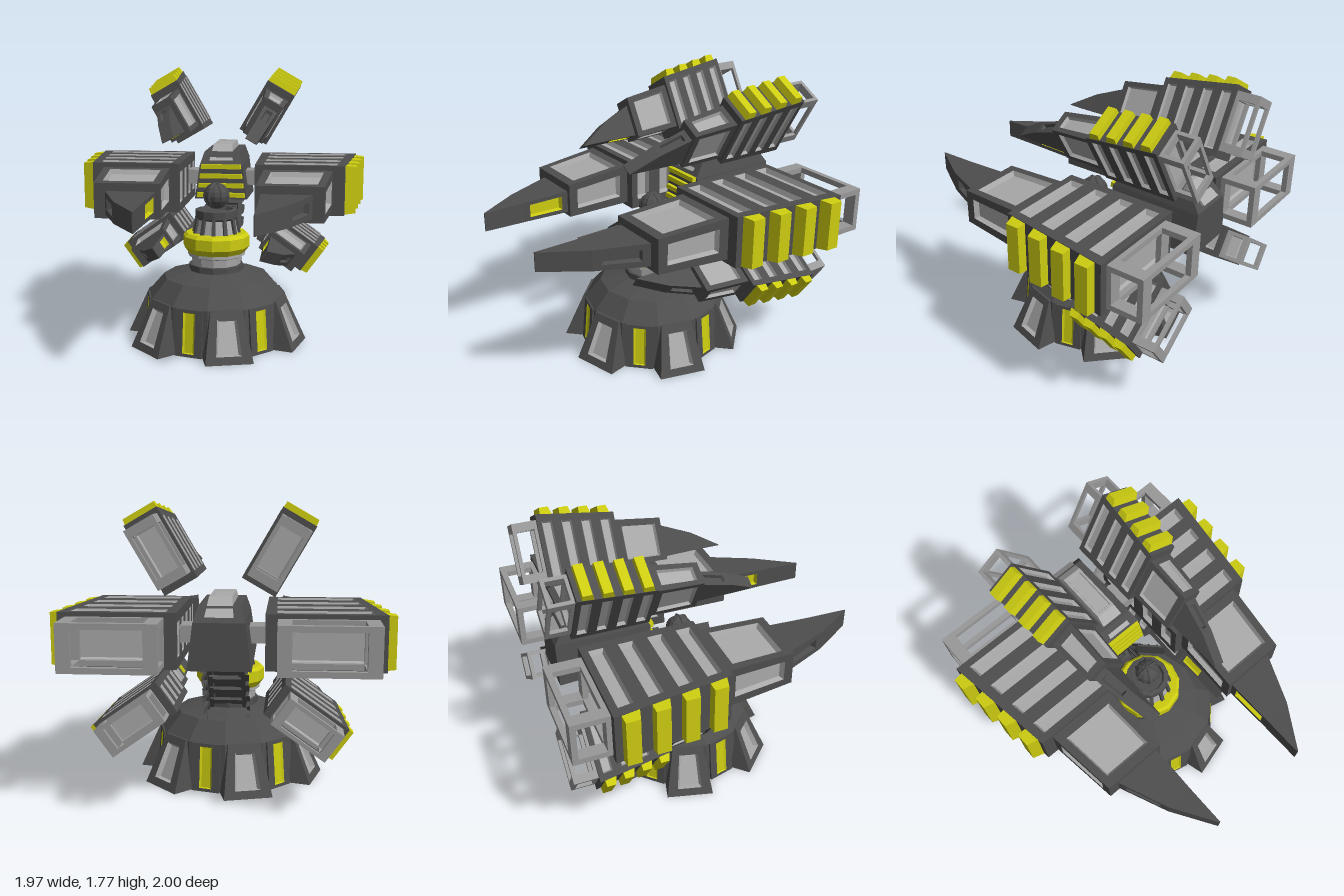
import * as THREE from 'three';

const V = (x, y, z) => new THREE.Vector3(x, y, z);
const mats = {};
for (const [k, color] of Object.entries({ dark: 0x4e4e4e, light: 0xaaaaaa, frame: 0x999999, yellow: 0xcccc11 }))
  mats[k] = new THREE.MeshStandardMaterial({ color, flatShading: true });

// Collects quads by colour, then bakes them into meshes
class Part {
  constructor() { this.bins = {}; }
  quad(col, a, b, c, d) {
    const bin = this.bins[col] ??= [];
    for (const p of [a, b, c, a, c, d]) bin.push(p.x, p.y, p.z);
  }
  // Face split into n cells along a->b, each with a sunken panel
  inset(col, [a, b, c, d], { n = 1, mu = 0.04, mv = 0.05, depth = 0.025, color = 'light' }) {
    const at = (u, v) => a.clone().lerp(b, u).lerp(d.clone().lerp(c, u), v);
    const lenU = at(0, 0.5).distanceTo(at(1, 0.5)), lenV = at(0.5, 0).distanceTo(at(0.5, 1));
    const normal = b.clone().sub(a).cross(d.clone().sub(a)).normalize().multiplyScalar(-depth);
    const ring = (u0, u1, m) => {
      const s = m * mu / lenU, t = m * mv / lenV;
      return [at(u0 + s, t), at(u1 - s, t), at(u1 - s, 1 - t), at(u0 + s, 1 - t)];
    };
    for (let i = 0; i < n; i++) {
      const u0 = i / n, u1 = (i + 1) / n;
      const outer = ring(u0, u1, 0), inner = ring(u0, u1, 1);
      const floor = ring(u0, u1, 1.25).map(p => p.add(normal));
      for (let k = 0; k < 4; k++) {
        const j = (k + 1) % 4;
        this.quad(col, outer[k], outer[j], inner[j], inner[k]);
        this.quad(color, inner[k], inner[j], floor[j], floor[k]);
      }
      this.quad(color, ...floor);
    }
  }
  // Six-sided block between a front and a rear quad; any side may carry panels
  block(col, F, R, panels = {}) {
    const sides = {
      front: [F[0], F[1], F[2], F[3]], back: [R[1], R[0], R[3], R[2]],
      right: [F[1], R[1], R[2], F[2]], left: [R[0], F[0], F[3], R[3]],
      top: [F[2], R[2], R[3], F[3]], bottom: [R[1], F[1], F[0], R[0]],
    };
    for (const [k, f] of Object.entries(sides))
      panels[k] ? this.inset(col, f, panels[k]) : this.quad(col, ...f);
  }
  box(col, x0, x1, y0, y1, z0, z1) { this.block(col, rect(x0, x1, y0, y1, z1), rect(x0, x1, y0, y1, z0)); }
  build(name, matrix = new THREE.Matrix4()) {
    const group = new THREE.Group();
    group.name = name;
    const flip = matrix.determinant() < 0;
    for (const [col, pos] of Object.entries(this.bins)) {
      const p = pos.slice();
      if (flip) for (let i = 0; i < p.length; i += 9)
        for (let k = 0; k < 3; k++) [p[i + 3 + k], p[i + 6 + k]] = [p[i + 6 + k], p[i + 3 + k]];
      const geo = new THREE.BufferGeometry();
      geo.setAttribute('position', new THREE.Float32BufferAttribute(p, 3));
      geo.applyMatrix4(matrix);
      geo.computeVertexNormals();
      const mesh = new THREE.Mesh(geo, mats[col]);
      mesh.name = name + '_' + col;
      group.add(mesh);
    }
    return group;
  }
}

const rect = (x0, x1, y0, y1, z) => [V(x0, y0, z), V(x1, y0, z), V(x1, y1, z), V(x0, y1, z)];
// Symmetric trapezoid, with its own z for bottom and top edges
const trap = (w0, w1, y0, y1, z0, z1 = z0) => [V(-w0, y0, z0), V(w0, y0, z0), V(w1, y1, z1), V(-w1, y1, z1)];

// One weapon pod, pointing +z, inner side towards x = 0
function makePod() {
  const p = new Part();
  // ribbed rear housing
  const groove = { n: 4, mu: 0.045, mv: 0.06, depth: 0.03 };
  p.block('dark', rect(0.25, 0.83, -0.165, 0.16, -0.04), rect(0.25, 0.93, -0.165, 0.16, -0.77),
    { top: groove, bottom: groove, left: groove, back: { mu: 0.09, mv: 0.05 } });
  // panelled middle section
  const panel = { mu: 0.06, mv: 0.05, depth: 0.03 };
  p.block('dark', rect(0.29, 0.70, -0.125, 0.095, 0.42), rect(0.31, 0.755, -0.135, 0.13, -0.04),
    { top: panel, bottom: panel, right: panel, left: panel });
  // curved blade
  const b0 = rect(0.32, 0.63, -0.1, 0.045, 0.42), b1 = rect(0.325, 0.5, -0.095, 0.035, 0.73);
  p.block('dark', b1, b0, {
    right: { mu: 0.05, mv: 0.035, depth: 0.03, color: 'dark' },
    left: { mu: 0.04, mv: 0.025, depth: 0.03, color: 'yellow' },
  });
  p.block('dark', rect(0.325, 0.332, -0.09, 0.03, 1.0), b1);
  // outer fins
  for (let i = 0; i < 4; i++) {
    const z = -0.13 - i * 0.18, x = 0.83 + 0.139 * (-0.04 - z), lean = 0.01;
    const end = s => [V(x - 0.03, -0.165, z + s * 0.058), V(x + 0.065, -0.155, z + s * 0.042 - lean),
      V(x + 0.065, 0.15, z + s * 0.042 - lean), V(x - 0.03, 0.16, z + s * 0.058)];
    p.block('yellow', end(1), end(-1));
  }
  // open cage at the rear
  for (const z of [-0.80, -1.0]) {
    for (const y of [-0.145, 0.1]) p.box('frame', 0.32, 0.88, y, y + 0.035, z, z + 0.035);
    for (const x of [0.32, 0.80]) p.box('frame', x, x + 0.08, -0.11, 0.1, z, z + 0.035);
  }
  for (const x of [0.32, 0.80]) for (const y of [-0.145, 0.1])
    p.box('frame', x, x + 0.08, y, y + 0.035, -0.965, -0.76);
  return p;
}

function lathe(name, col, pts, seg = 12) {
  const mesh = new THREE.Mesh(
    new THREE.LatheGeometry(pts.map(p => new THREE.Vector2(...p)), seg), mats[col]);
  mesh.name = name;
  mesh.position.z = -0.03;
  return mesh;
}

export function createModel() {
  const model = new THREE.Group();
  model.name = 'turret';

  // base core, with six splayed feet and six lit slots
  model.add(lathe('baseCore', 'dark',
    [[0, 0], [0.476, 0], [0.455, 0.3], [0.35, 0.42], [0.18, 0.46], [0.18, 0.5], [0, 0.5]]));
  const foot = new Part(), slot = new Part();
  foot.block('dark', trap(0.15, 0.1, 0, 0.305, 0.58, 0.45), trap(0.15, 0.1, 0, 0.305, 0.3),
    { front: { mu: 0.055, mv: 0.05, depth: 0.03 } });
  slot.block('dark', trap(0.09, 0.09, 0, 0.3, 0.475, 0.45), trap(0.09, 0.09, 0, 0.3, 0.3),
    { front: { mu: 0.05, mv: 0.02, depth: 0.008, color: 'yellow' } });
  for (let i = 0; i < 6; i++) {
    const turn = deg => new THREE.Matrix4().makeRotationY(THREE.MathUtils.degToRad(deg + 60 * i)).setPosition(0, 0, -0.03);
    model.add(foot.build('foot', turn(15)), slot.build('baseSlot', turn(45)));
  }

  // neck stack
  model.add(
    lathe('neckPlinth', 'light', [[0.16, 0.48], [0.165, 0.55], [0.19, 0.56], [0.19, 0.6]]),
    lathe('neckRing', 'yellow', [[0.12, 0.57], [0.19, 0.58], [0.22, 0.62], [0.22, 0.69], [0.2, 0.71], [0.12, 0.71]]),
    lathe('neckCollar', 'light', [[0.15, 0.7], [0.125, 0.81]]),
    lathe('neckCap', 'dark', [[0.12, 0.79], [0.14, 0.81], [0.14, 0.86], [0.11, 0.865], [0.1, 0.84], [0, 0.84]]));
  const bar = new Part();
  bar.block('dark', trap(0.013, 0.011, 0.7, 0.81, 0.162, 0.14), trap(0.013, 0.011, 0.7, 0.81, 0.12, 0.1));
  for (let i = 0; i < 12; i++)
    model.add(bar.build('collarBar', new THREE.Matrix4().makeRotationY(i * Math.PI / 6).setPosition(0, 0, -0.03)));

  // sensor ball with meridian ribs
  const ball = new THREE.Mesh(new THREE.SphereGeometry(0.08, 12, 8), mats.dark);
  ball.name = 'sensorBall';
  ball.position.set(0, 0.95, -0.03);
  for (let i = 0; i < 3; i++) {
    const rib = new THREE.Mesh(new THREE.TorusGeometry(0.08, 0.008, 4, 16), mats.dark);
    rib.name = 'ballRib';
    rib.rotation.y = i * Math.PI / 3;
    ball.add(rib);
  }
  model.add(ball);

  // central body with striped face and top spine
  const body = new Part();
  body.block('dark', trap(0.18, 0.145, 0.885, 1.12, -0.28), trap(0.18, 0.145, 0.85, 1.12, -0.88));
  body.block('dark', trap(0.145, 0.12, 1.12, 1.205, -0.28, -0.34), trap(0.145, 0.12, 1.12, 1.205, -0.88, -0.82));
  body.block('light', trap(0.08, 0.065, 1.15, 1.25, -0.29, -0.42), trap(0.08, 0.065, 1.15, 1.25, -0.88, -0.76),
    { top: { mu: 0.02, mv: 0.015, depth: 0.01 } });
  for (let i = 0; i < 4; i++) {
    const y = 0.9 + i * 0.065, w = 0.172 - i * 0.009;
    body.block('yellow', trap(w - 0.01, w - 0.014, y, y + 0.03, -0.255), trap(w, w - 0.004, y, y + 0.03, -0.3));
  }
  model.add(body.build('body'));

  // ribbed support arm from base to body
  const arm = new Part();
  const rib = { n: 6, mu: 0.018, mv: 0.03, depth: 0.02, color: 'dark' };
  const low = w => [V(-w, 0.42, -0.36), V(w, 0.42, -0.36), V(w, 0.42, -0.16), V(-w, 0.42, -0.16)];
  const high = w => [V(-w, 0.9, -0.65), V(w, 0.9, -0.65), V(w, 0.9, -0.48), V(-w, 0.9, -0.48)];
  arm.block('dark', high(0.12), low(0.12), { bottom: rib, top: rib, left: rib, right: rib });
  model.add(arm.build('supportArm'));

  // cross beam carrying the large pods
  const beam = new Part();
  beam.box('frame', -0.3, 0.3, 0.96, 1.06, -0.62, -0.46);
  model.add(beam.build('crossBeam'));

  // large side pods, small upper and lower pods, mirrored left and right
  const pod = makePod();
  const places = [
    ['sidePod', 0, 0.995, 0, 0, 1],
    ['upperPod', 0.13, 1.17, -0.315, 60, 0.65],
    ['lowerPod', 0.173, 0.779, -0.315, -35.4, 0.65],
  ];
  for (const [name, x, y, z, deg, s] of places) {
    const m = new THREE.Matrix4().compose(V(x, y, z),
      new THREE.Quaternion().setFromAxisAngle(V(0, 0, 1), THREE.MathUtils.degToRad(deg)), V(s, s, s));
    model.add(pod.build(name + 'Left', m));
    model.add(pod.build(name + 'Right', new THREE.Matrix4().makeScale(-1, 1, 1).multiply(m)));
  }
  return model;
}
